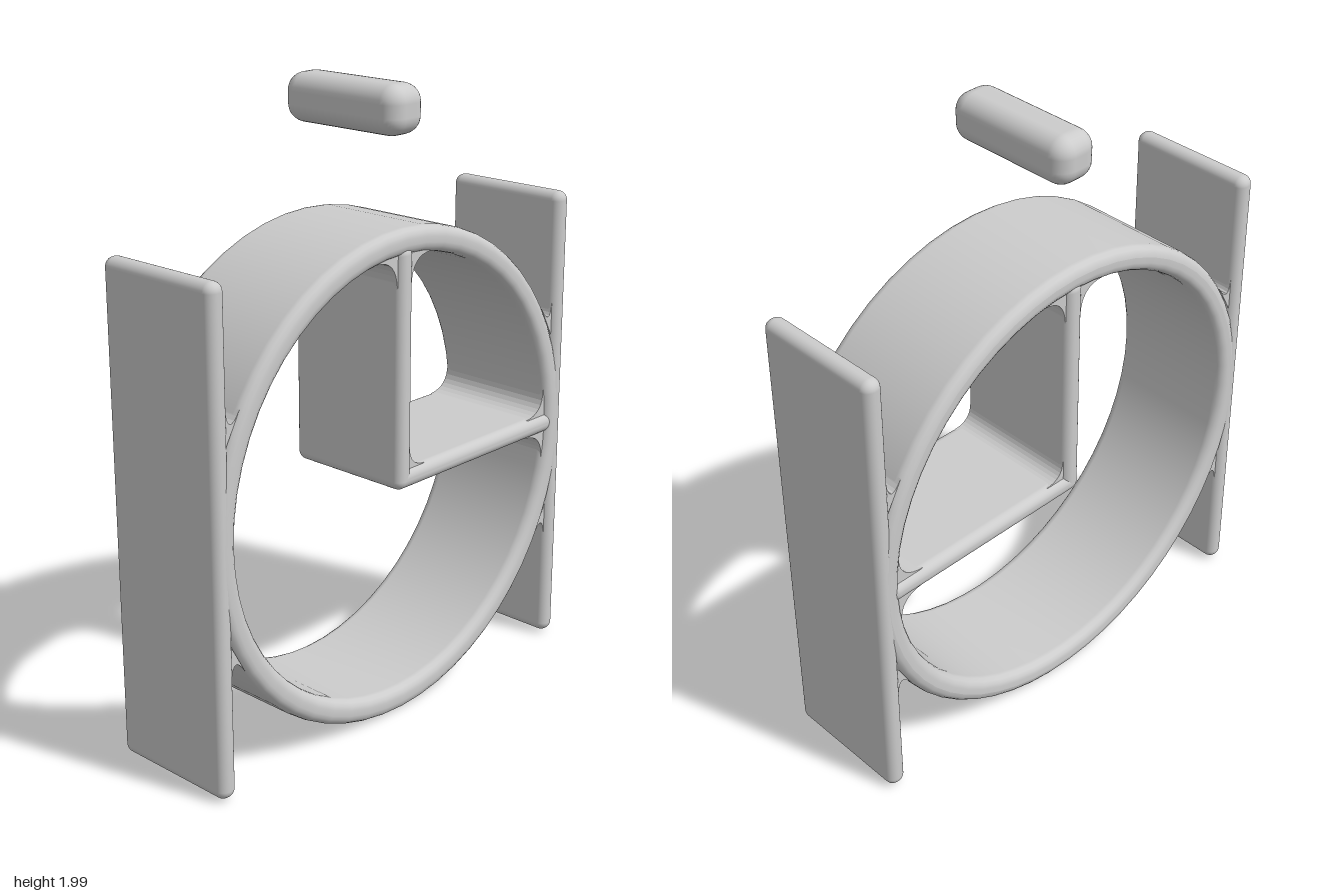
import * as THREE from 'three';
import { RoundedBoxGeometry } from 'three/addons/geometries/RoundedBoxGeometry.js';

const CY = 0.795; // height of the ring centre
const HALF = 0.222; // half depth of everything

export function createModel() {
  const grey = new THREE.MeshStandardMaterial({ color: 0xcccccc });
  grey.name = 'plain grey';
  const model = new THREE.Group();
  model.name = 'clockFrame';

  const add = (name, geometry, x = 0, y = 0, z = 0) => {
    const mesh = new THREE.Mesh(geometry, grey);
    mesh.name = name;
    mesh.position.set(x, y, z);
    model.add(mesh);
    return mesh;
  };

  // Rounded slab given by its limits in x and y
  const slab = (name, x0, x1, y0, y1, radius, half = HALF) =>
    add(name, new RoundedBoxGeometry(x1 - x0, y1 - y0, half * 2, 4, radius), (x0 + x1) / 2, (y0 + y1) / 2);

  // Concave web softening a join: curve from a to b pulled to c, closed inside the parts at d
  const fillet = (name, a, c, b, d) => {
    const shape = new THREE.Shape();
    shape.moveTo(...a);
    shape.quadraticCurveTo(...c, ...b);
    shape.lineTo(...d);
    shape.closePath();
    const depth = HALF * 2 - 0.03;
    add(name, new THREE.ExtrudeGeometry(shape, { depth, bevelEnabled: false, curveSegments: 8 }), 0, 0, -depth / 2);
  };

  // Ring: rounded band section turned about z
  const inner = 0.704, outer = 0.786, r = 0.032;
  const profile = [];
  const corners = [[outer - r, -HALF + r], [outer - r, HALF - r], [inner + r, HALF - r], [inner + r, -HALF + r]];
  corners.forEach(([x, y], i) => {
    for (let k = 0; k <= 4; k++) {
      const t = (i - 1 + k / 4) * Math.PI / 2;
      profile.push(new THREE.Vector2(x + r * Math.cos(t), y + r * Math.sin(t)));
    }
  });
  profile.push(profile[0].clone());
  add('ring', new THREE.LatheGeometry(profile, 56), 0, CY).rotation.x = Math.PI / 2;

  // Side panels with the webs joining them to the ring
  for (const s of [-1, 1]) {
    const side = s > 0 ? 'left' : 'right';
    const x0 = s > 0 ? 0.724 : -0.788;
    slab(side + 'Panel', x0, x0 + 0.064, 0.015, 1.57, 0.03);
    for (const v of [-1, 1]) {
      const p = (x, dy) => [s * x, CY + v * dy];
      fillet(side + 'PanelWeb', p(0.728, 0.41), p(0.72, 0.325), p(0.675, 0.398), p(0.745, 0.27));
    }
  }

  // Clock hands and the webs at their ends
  slab('uprightHand', -0.033, 0.033, 0.76, 1.53, 0.03);
  slab('levelHand', -0.033, 0.74, 0.76, 0.825, 0.03);
  for (const s of [-1, 1]) {
    fillet('uprightHandWeb', [s * 0.031, 1.4], [s * 0.035, 1.495], [s * 0.12, 1.492], [0, 1.53]);
    const q = (x, dy) => [x, 0.7925 + s * dy];
    fillet('levelHandWeb', q(0.61, 0.031), q(0.7, 0.035), q(0.698, 0.12), q(0.735, 0));
  }
  fillet('elbowWeb', [0.031, 0.89], [0.033, 0.825], [0.1, 0.823], [0, 0.79]);

  // Floating bar above the ring
  slab('topBar', -0.076, 0.076, 1.85, 2, 0.055, 0.226);

  return model;
}
